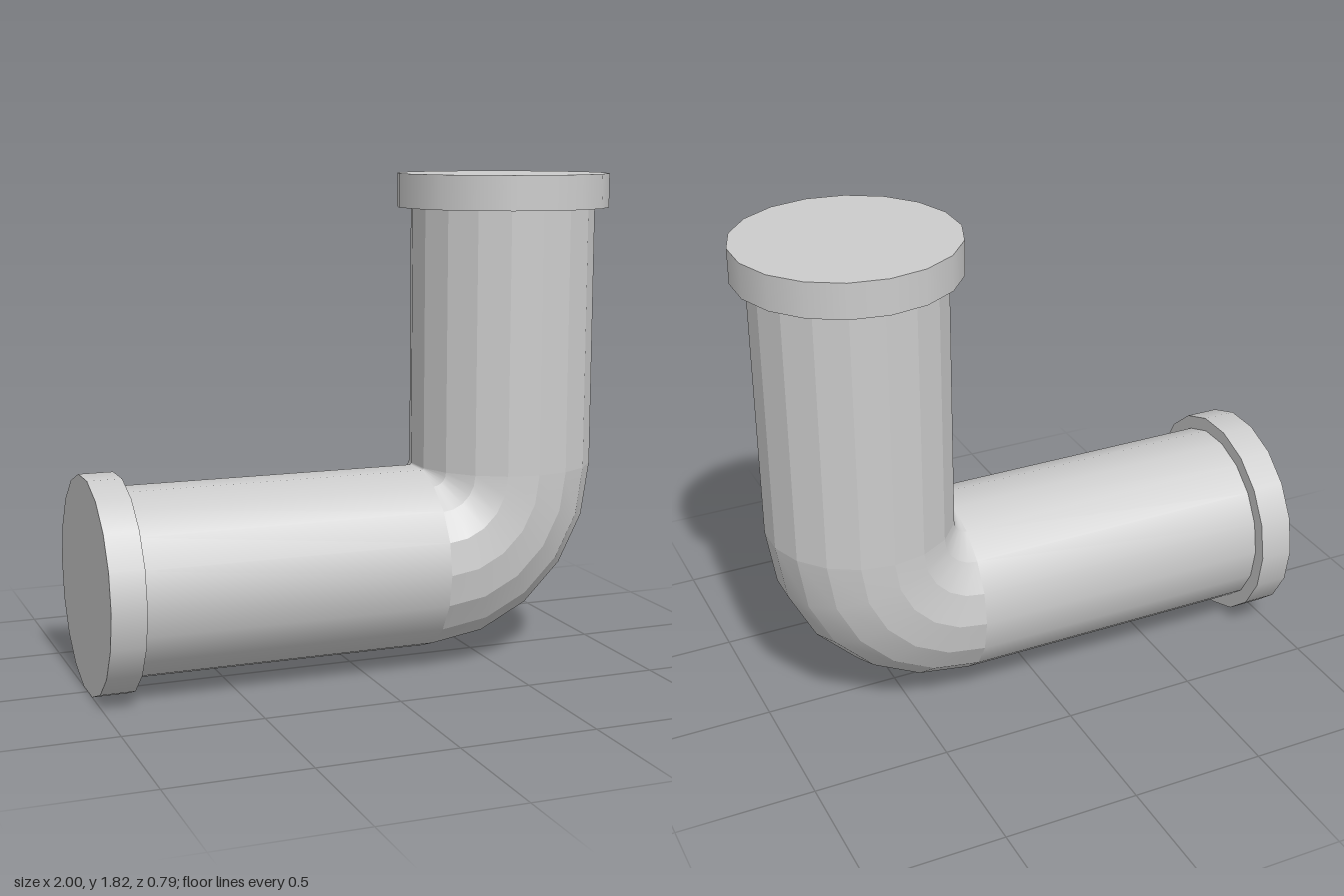
import * as THREE from 'three';

const SIDES = 18;
const PIPE_R = 0.343, COLLAR_R = 0.395, COLLAR_H = 0.125;
const AXIS_X = 0.61, AXIS_Y = 0.39;     // axes of the upright and the level pipe
const BEND_X = 0.265, BEND_Y = 0.735;   // centre of the elbow curve
const TOP = 1.82, END = -1;

// Elbow: lengthwise strips, smooth along the curve, with hard edges between strips
function elbowGeometry(steps = 5) {
  const bendR = AXIS_X - BEND_X;
  const pos = [], idx = [];
  const corner = (a, t) => {
    const d = bendR + PIPE_R * Math.cos(t);
    pos.push(BEND_X + d * Math.sin(a), BEND_Y - d * Math.cos(a), PIPE_R * Math.sin(t));
  };
  for (let s = 0; s < SIDES; s++) {
    const t0 = ((s - 0.5) / SIDES) * Math.PI * 2;
    const t1 = ((s + 0.5) / SIDES) * Math.PI * 2;
    for (let i = 0; i <= steps; i++) {
      const a = (i / steps) * Math.PI / 2;
      const n = pos.length / 3;
      corner(a, t0);
      corner(a, t1);
      if (i < steps) idx.push(n, n + 2, n + 3, n, n + 3, n + 1);
    }
  }
  const g = new THREE.BufferGeometry();
  g.setAttribute('position', new THREE.Float32BufferAttribute(pos, 3));
  g.setIndex(idx);
  g.computeVertexNormals();
  return g;
}

export function createModel() {
  const group = new THREE.Group();
  const smooth = new THREE.MeshStandardMaterial({ color: 0xcccccc, side: THREE.DoubleSide });
  const faceted = new THREE.MeshStandardMaterial({ color: 0xcccccc, side: THREE.DoubleSide, flatShading: true });

  const add = (name, geometry, material) => {
    const mesh = new THREE.Mesh(geometry, material);
    mesh.name = name;
    group.add(mesh);
  };
  // Cylinders given by their start and end along the pipe axis
  const upright = (r, y0, y1, open) =>
    new THREE.CylinderGeometry(r, r, y1 - y0, SIDES, 1, open).translate(AXIS_X, (y0 + y1) / 2, 0);
  const level = (r, x0, x1, open) =>
    new THREE.CylinderGeometry(r, r, x1 - x0, SIDES, 1, open)
      .rotateZ(Math.PI / 2).translate((x0 + x1) / 2, AXIS_Y, 0);

  // Straight pipes
  add('levelPipe', level(PIPE_R, END + COLLAR_H, BEND_X, true), smooth);
  add('uprightPipe', upright(PIPE_R, BEND_Y, TOP - COLLAR_H, true), faceted);

  // Curved joint
  add('elbow', elbowGeometry(), smooth);

  // Closed end collars
  add('sideCollar', level(COLLAR_R, END, END + COLLAR_H, false), smooth);
  add('topCollar', upright(COLLAR_R, TOP - COLLAR_H, TOP, false), smooth);

  return group;
}
